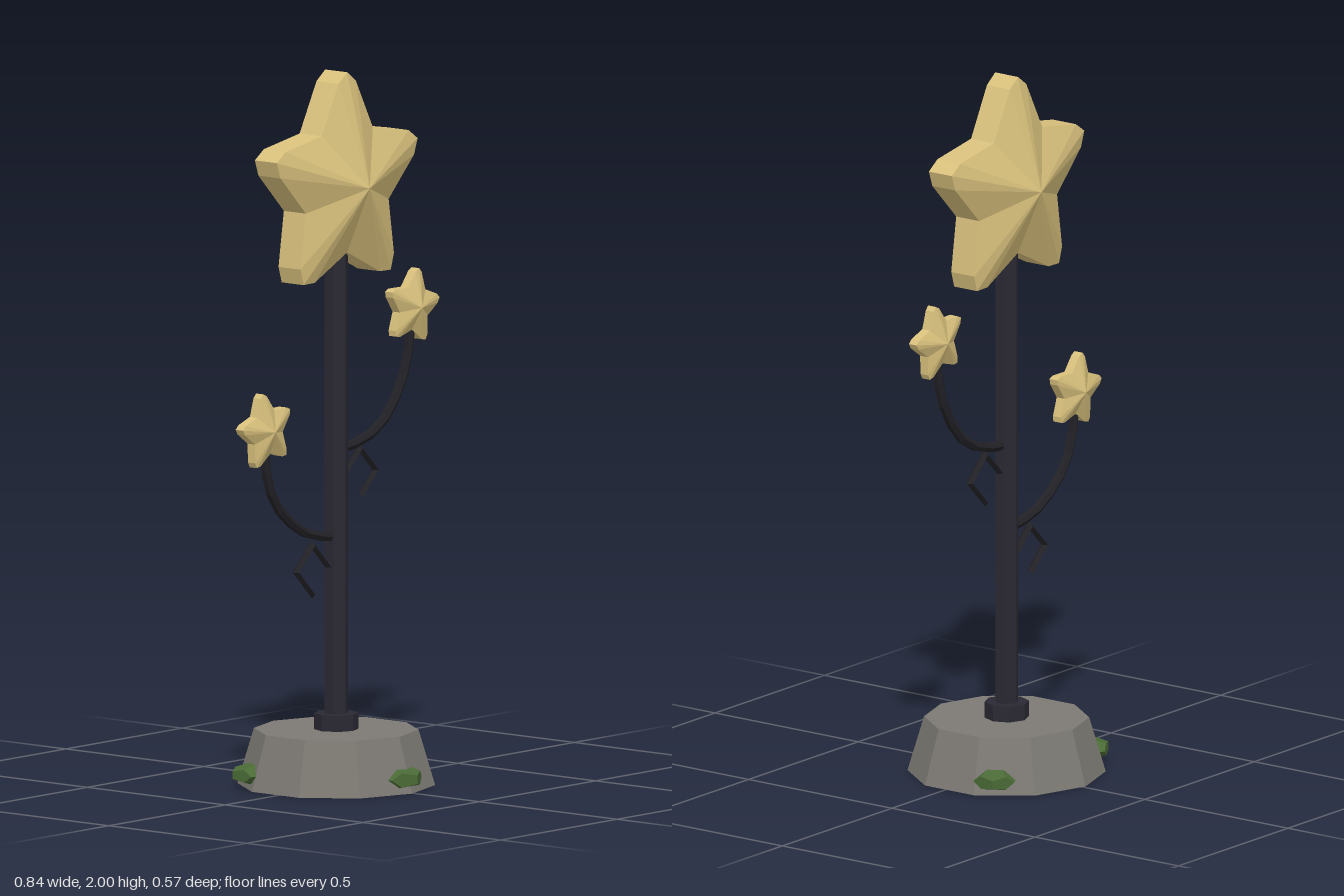
import * as THREE from 'three';

const mat = (name, color) => {
  const m = new THREE.MeshStandardMaterial({ color, flatShading: true });
  m.name = name;
  return m;
};

// Five-armed faceted star: a flat rim with a pyramid to an apex on each side.
function starGeometry() {
  const rim = 0.04, apex = 0.122, outline = [];
  for (let arm = 0; arm < 5; arm++) {
    for (const [deg, r] of [[-36, 0.187], [-7.4, 0.292], [0, 0.318], [7.4, 0.292]]) {
      const a = THREE.MathUtils.degToRad(arm * 72 + deg);
      outline.push([-Math.sin(a) * r, Math.cos(a) * r]); // counter-clockwise from the front
    }
  }
  const pos = [];
  outline.forEach(([x0, y0], i) => {
    const [x1, y1] = outline[(i + 1) % outline.length];
    pos.push(x0, y0, rim, x1, y1, rim, 0, 0, apex);
    pos.push(x1, y1, -rim, x0, y0, -rim, 0, 0, -apex);
    pos.push(x0, y0, -rim, x1, y1, -rim, x1, y1, rim);
    pos.push(x0, y0, -rim, x1, y1, rim, x0, y0, rim);
  });
  const g = new THREE.BufferGeometry();
  g.setAttribute('position', new THREE.Float32BufferAttribute(pos, 3));
  g.computeVertexNormals();
  return g;
}

export function createModel() {
  const gold = mat('gold', 0xd8c07c);
  const stone = mat('stone', 0x7d7a74);
  const iron = mat('iron', 0x2a2832);
  const darkIron = mat('dark iron', 0x212126);
  const moss = mat('moss', 0x4a6a35);

  const model = new THREE.Group();
  const cx = -0.008, cz = -0.012;
  const add = (name, geometry, material, x, y, z = cz) => {
    const mesh = new THREE.Mesh(geometry, material);
    mesh.name = name;
    mesh.position.set(x, y, z);
    model.add(mesh);
    return mesh;
  };

  // Stone base, collar and hexagonal pole
  add('stoneBase', new THREE.CylinderGeometry(0.229, 0.275, 0.155, 10), stone, cx, 0.0775);
  add('collar', new THREE.CylinderGeometry(0.062, 0.062, 0.05, 8), iron, cx, 0.175);
  add('pole', new THREE.CylinderGeometry(0.034, 0.034, 1.37, 6), iron, cx, 0.835);

  // Moss clumps spaced around the base
  for (const [deg, size, dist] of [[0, 0.068, 0.232], [120, 0.061, 0.249], [240, 0.061, 0.249]]) {
    const a = THREE.MathUtils.degToRad(deg);
    const clump = add('mossClump', new THREE.DodecahedronGeometry(size), moss,
      cx + Math.sin(a) * dist, 0.041, cz + Math.cos(a) * dist);
    clump.rotation.y = a;
    clump.scale.y = 0.5;
  }

  // Stars
  const star = starGeometry();
  add('largeStar', star, gold, cx, 1.682);
  for (const [name, x, y, tilt] of [['leftStar', 0.313, 1.302, -0.18], ['rightStar', -0.317, 1.026, 0.18]]) {
    const s = add(name, star, gold, x, y);
    s.scale.setScalar(0.34);
    s.rotation.z = tilt;
  }

  // Curved branches that carry the small stars
  const branches = {
    leftBranch: [[0, 0.938], [0.108, 0.953], [0.193, 0.995], [0.257, 1.07], [0.294, 1.15], [0.312, 1.25]],
    rightBranch: [[-0.015, 0.695], [-0.124, 0.713], [-0.204, 0.755], [-0.267, 0.813], [-0.304, 0.887], [-0.317, 0.975]],
  };
  for (const [name, pts] of Object.entries(branches)) {
    const path = new THREE.CatmullRomCurve3(pts.map(([x, y]) => new THREE.Vector3(x, y, 0)));
    add(name, new THREE.TubeGeometry(path, 7, 0.014, 6), darkIron, 0, 0);
  }

  // Angular hooks below the branches
  const hook = new THREE.TorusGeometry(0.069, 0.012, 4, 3, Math.PI * 1.5);
  add('leftHook', hook, darkIron, 0.092, 0.862).rotation.z = -Math.PI / 2;
  add('rightHook', hook, darkIron, -0.112, 0.613);

  return model;
}
